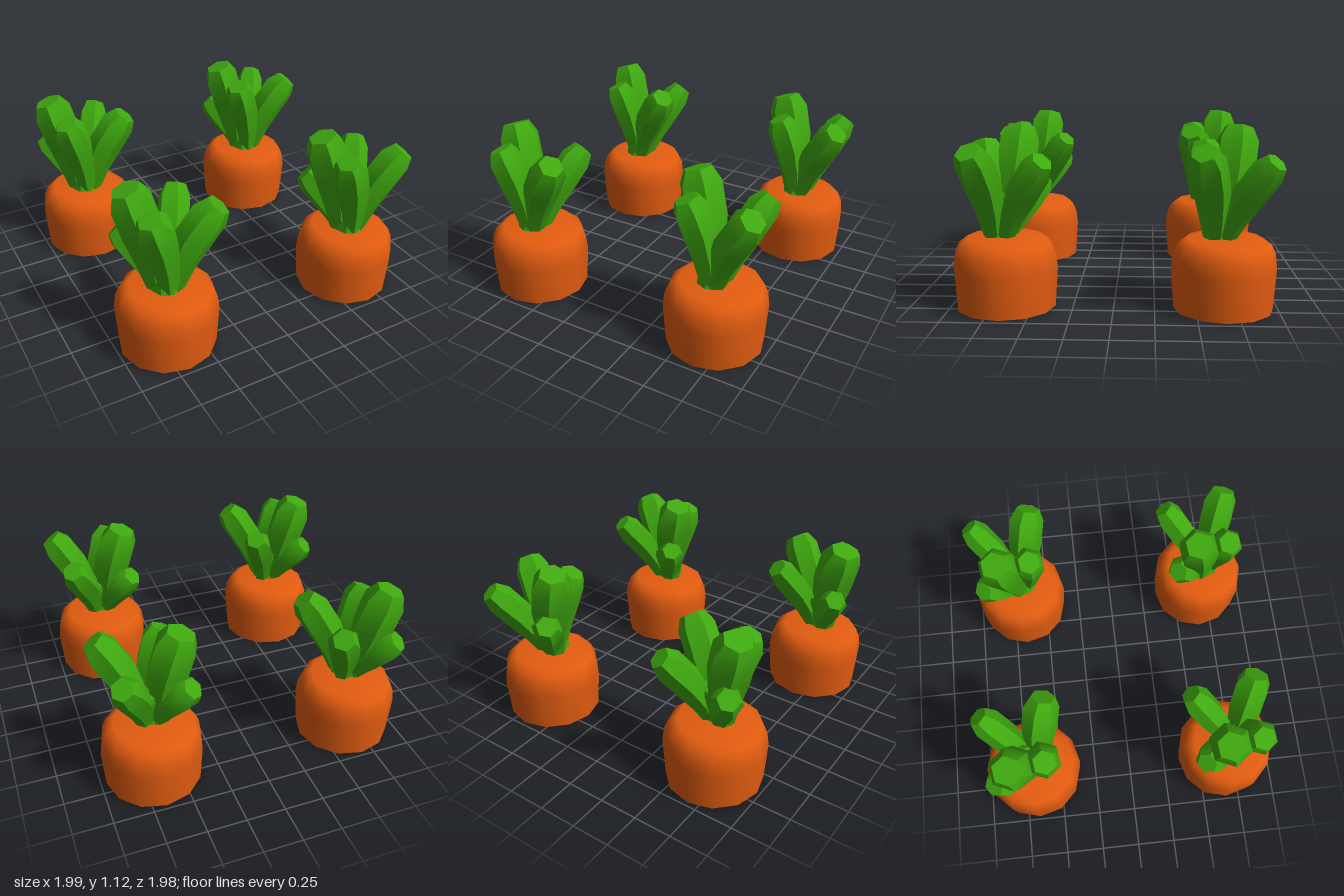
import * as THREE from 'three';
import { toCreasedNormals } from 'three/addons/utils/BufferGeometryUtils.js';

const orange = new THREE.MeshStandardMaterial({ color: 0xe25c10, side: THREE.DoubleSide });
orange.name = 'carrotOrange';
const green = new THREE.MeshStandardMaterial({ color: 0x3fa80f });
green.name = 'leafGreen';

const SIDES = 6;
// Leaf sections: position along the stalk and share of the full radius
const SECTIONS = [[0, 0.5], [0.3, 0.78], [0.6, 1], [0.88, 1], [1, 0.68]];

// Blunt stalk that widens upward along a bent centre line
function leafGeometry(base, mid, tip, radius, twist) {
  const curve = new THREE.QuadraticBezierCurve3(
    new THREE.Vector3(...base), new THREE.Vector3(...mid), new THREE.Vector3(...tip));
  const position = [], index = [];
  for (const [t, scale] of SECTIONS) {
    const c = curve.getPoint(t), dir = curve.getTangent(t);
    const u = new THREE.Vector3(1, 0, 0).addScaledVector(dir, -dir.x).normalize();
    const v = dir.clone().cross(u);
    for (let j = 0; j < SIDES; j++) {
      const a = twist + (j / SIDES) * Math.PI * 2;
      const p = c.clone()
        .addScaledVector(u, Math.cos(a) * radius * scale)
        .addScaledVector(v, Math.sin(a) * radius * scale);
      position.push(p.x, p.y, p.z);
    }
  }
  for (let i = 0; i < SECTIONS.length - 1; i++) {
    for (let j = 0; j < SIDES; j++) {
      const k = (j + 1) % SIDES;
      const a = i * SIDES + j, b = i * SIDES + k;
      index.push(a, b, b + SIDES, a, b + SIDES, a + SIDES);
    }
  }
  // Flat end at the tip
  const last = (SECTIONS.length - 1) * SIDES;
  for (let j = 1; j < SIDES - 1; j++) index.push(last, last + j, last + j + 1);
  const g = new THREE.BufferGeometry();
  g.setAttribute('position', new THREE.Float32BufferAttribute(position, 3));
  g.setIndex(index);
  return toCreasedNormals(g, 0.6);
}

// name, base, bend, tip, radius, twist
const LEAVES = [
  ['frontRightLeaf', [-0.01, 0.42, 0.07], [-0.03, 0.75, 0.09], [-0.14, 1.0, 0.13], 0.112, 0.2],
  ['frontLeftLeaf', [0.02, 0.42, 0.06], [0.08, 0.73, 0.07], [0.275, 0.985, 0.15], 0.115, 0.5],
  ['tallBackRightLeaf', [-0.05, 0.42, 0.0], [-0.07, 0.75, -0.05], [-0.185, 1.09, -0.09], 0.134, 0.1],
  ['backLeftLeaf', [0.03, 0.42, 0], [0.07, 0.67, -0.07], [0.21, 0.925, -0.265], 0.1, 0.4],
  ['lowBackRightLeaf', [-0.04, 0.42, 0], [-0.07, 0.6, -0.07], [-0.21, 0.78, -0.21], 0.1, 0.3],
  ['centreLeaf', [0, 0.42, 0.02], [0.01, 0.55, 0], [0.0, 0.7, -0.06], 0.075, 0],
];

// Hollow root with rounded shoulder, open underneath
const rootGeometry = new THREE.LatheGeometry(
  [[0.305, 0], [0.322, 0.25], [0.311, 0.34], [0.285, 0.4], [0.23, 0.44], [0, 0.445]]
    .map(([r, y]) => new THREE.Vector2(r, y)), 12);
// Short collar where the stalks meet
const collarGeometry = toCreasedNormals(
  new THREE.CylinderGeometry(0.09, 0.1, 0.08, 8).translate(-0.01, 0.47, 0.035), 0.6);
const leafGeometries = LEAVES.map(([name, ...shape]) => [name, leafGeometry(...shape)]);

function addMesh(parent, name, geometry, material) {
  const mesh = new THREE.Mesh(geometry, material);
  mesh.name = name;
  parent.add(mesh);
}

function createCarrot() {
  const carrot = new THREE.Group();
  carrot.name = 'carrot';
  addMesh(carrot, 'root', rootGeometry, orange);
  addMesh(carrot, 'stalkCollar', collarGeometry, green);
  for (const [name, geometry] of leafGeometries) addMesh(carrot, name, geometry, green);
  return carrot;
}

export function createModel() {
  const model = new THREE.Group();
  model.name = 'carrotPatch';
  // Two by two planting
  for (const x of [-0.675, 0.66]) {
    for (const z of [-0.67, 0.665]) {
      const carrot = createCarrot();
      carrot.position.set(x, 0, z);
      model.add(carrot);
    }
  }
  return model;
}
